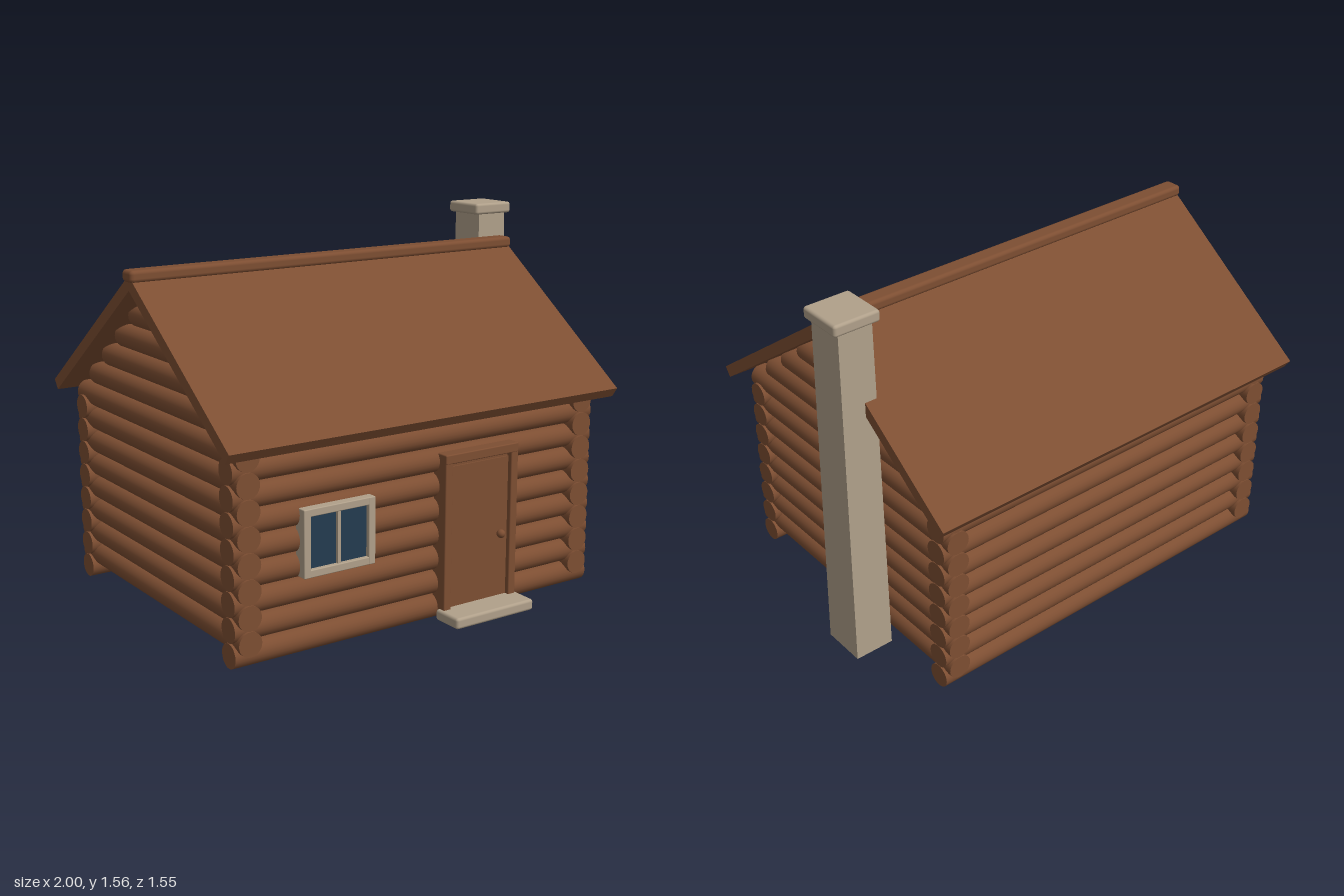
import * as THREE from 'three';
import { RoundedBoxGeometry } from 'three/addons/geometries/RoundedBoxGeometry.js';

const wood = new THREE.MeshStandardMaterial({ color: 0x7d4e32 });
wood.name = 'wood';
const stone = new THREE.MeshStandardMaterial({ color: 0xb0a08a });
stone.name = 'stone';
const glass = new THREE.MeshStandardMaterial({ color: 0x243b50 });
glass.name = 'glass';

const CX = -0.06, CZ = -0.03; // centre of the log walls
const R = 0.05, PITCH = 0.1015; // log radius and spacing

function add(parent, name, geometry, material, x = 0, y = 0, z = 0) {
  const mesh = new THREE.Mesh(geometry, material);
  mesh.name = name;
  mesh.position.set(x, y, z);
  parent.add(mesh);
  return mesh;
}

// Box given by its minimum and maximum corners, optionally rounded
function block(parent, name, material, [x0, y0, z0], [x1, y1, z1], round = 0) {
  const size = [x1 - x0, y1 - y0, z1 - z0];
  const geometry = round ? new RoundedBoxGeometry(...size, 2, round) : new THREE.BoxGeometry(...size);
  return add(parent, name, geometry, material, (x0 + x1) / 2, (y0 + y1) / 2, (z0 + z1) / 2);
}

function log(parent, name, length, axis, x, y, z) {
  const geometry = new THREE.CylinderGeometry(R, R, length, 24);
  if (axis === 'x') geometry.rotateZ(Math.PI / 2);
  else geometry.rotateX(Math.PI / 2);
  return add(parent, name, geometry, wood, x, y, z);
}

function buildWalls() {
  const walls = new THREE.Group();
  walls.name = 'logWalls';
  for (const side of [-1, 1]) {
    // Front and back logs, overlapping the side logs at the corners
    for (let i = 0; i < 8; i++) {
      log(walls, side > 0 ? 'frontLog' : 'backLog', 1.74, 'x', CX, R + i * PITCH, CZ + side * 0.61);
    }
    // Side logs sit half a log higher; the last four step in to form the gable
    for (let i = 0; i < 12; i++) {
      const half = i < 8 ? 0.67 : 0.543 - (i - 8) * 0.129;
      log(walls, i < 8 ? 'sideLog' : 'gableLog', half * 2, 'z', CX + side * 0.81, PITCH * (i + 1), CZ);
    }
  }
  return walls;
}

function buildRoof() {
  const roof = new THREE.Group();
  roof.name = 'roof';
  for (const side of [-1, 1]) {
    // Sloping slab with a plumb cut at the ridge and a square cut at the eave
    const shape = new THREE.Shape();
    shape.moveTo(0, 1.402);
    shape.lineTo(side * 0.745, 0.862);
    shape.lineTo(side * 0.717, 0.823);
    shape.lineTo(0, 1.343);
    const geometry = new THREE.ExtrudeGeometry(shape, { depth: 1.865, bevelEnabled: false });
    geometry.rotateY(-Math.PI / 2);
    add(roof, side > 0 ? 'frontRoofSlab' : 'backRoofSlab', geometry, wood, 0.875, 0, CZ);
  }
  block(roof, 'ridgeCap', wood, [-1, 1.375, -0.07], [0.882, 1.424, 0.01], 0.016);
  return roof;
}

// Tapered stack with chamfered corners and a chamfered foot
function buildChimney() {
  const chimney = new THREE.Group();
  chimney.name = 'chimney';
  const c = 0.014;
  const shape = new THREE.Shape();
  const hx = 0.085 - c, hz = 0.096 - c;
  shape.moveTo(-hx, -hz);
  shape.lineTo(hx, -hz);
  shape.lineTo(hx, hz);
  shape.lineTo(-hx, hz);
  const geometry = new THREE.ExtrudeGeometry(shape, {
    depth: 1.5, bevelEnabled: true, bevelSize: c, bevelThickness: c, bevelSegments: 1,
  });
  geometry.rotateX(-Math.PI / 2);
  const p = geometry.attributes.position;
  for (let i = 0; i < p.count; i++) {
    const k = 1 - 0.13 * (p.getY(i) / 1.5);
    p.setX(i, p.getX(i) * k);
    p.setZ(i, p.getZ(i) * k);
  }
  geometry.computeVertexNormals();
  add(chimney, 'chimneyStack', geometry, stone, 0.899, 0.018, -0.235);
  block(chimney, 'chimneyCap', stone, [0.797, 1.511, -0.335], [0.997, 1.56, -0.136], 0.012);
  return chimney;
}

function buildDoor() {
  const door = new THREE.Group();
  door.name = 'door';
  block(door, 'doorPanel', wood, [0.04, 0.03, 0.6], [0.35, 0.638, 0.65]);
  block(door, 'doorHead', wood, [0.04, 0.638, 0.6], [0.35, 0.66, 0.643]);
  for (const x of [0.01, 0.345]) block(door, 'doorJamb', wood, [x, 0.03, 0.59], [x + 0.036, 0.694, 0.67], 0.005);
  block(door, 'doorLintel', wood, [0.01, 0.655, 0.59], [0.381, 0.694, 0.671], 0.005);
  add(door, 'doorKnob', new THREE.SphereGeometry(0.018, 16, 12), wood, 0.305, 0.318, 0.662);
  block(door, 'doorstep', stone, [-0.003, 0.003, 0.632], [0.395, 0.05, 0.772], 0.012);
  return door;
}

function buildWindow() {
  const win = new THREE.Group();
  win.name = 'window';
  const x0 = -0.645, x1 = -0.32, y0 = 0.315, y1 = 0.585, w = 0.031, z0 = 0.6, z1 = 0.66;
  for (const x of [x0, x1 - w]) block(win, 'windowSide', stone, [x, y0, z0], [x + w, y1, z1], 0.004);
  for (const y of [y0, y1 - w]) block(win, 'windowRail', stone, [x0, y, z0], [x1, y + w, z1 - 0.001], 0.004);
  block(win, 'windowMullion', stone, [-0.49, y0 + w, 0.63], [-0.475, y1 - w, 0.652]);
  block(win, 'windowPane', glass, [x0 + 0.02, y0 + 0.02, 0.633], [x1 - 0.02, y1 - 0.02, 0.641]);
  return win;
}

export function createModel() {
  const cabin = new THREE.Group();
  cabin.name = 'logCabin';
  cabin.add(buildWalls(), buildRoof(), buildChimney(), buildDoor(), buildWindow());
  return cabin;
}
